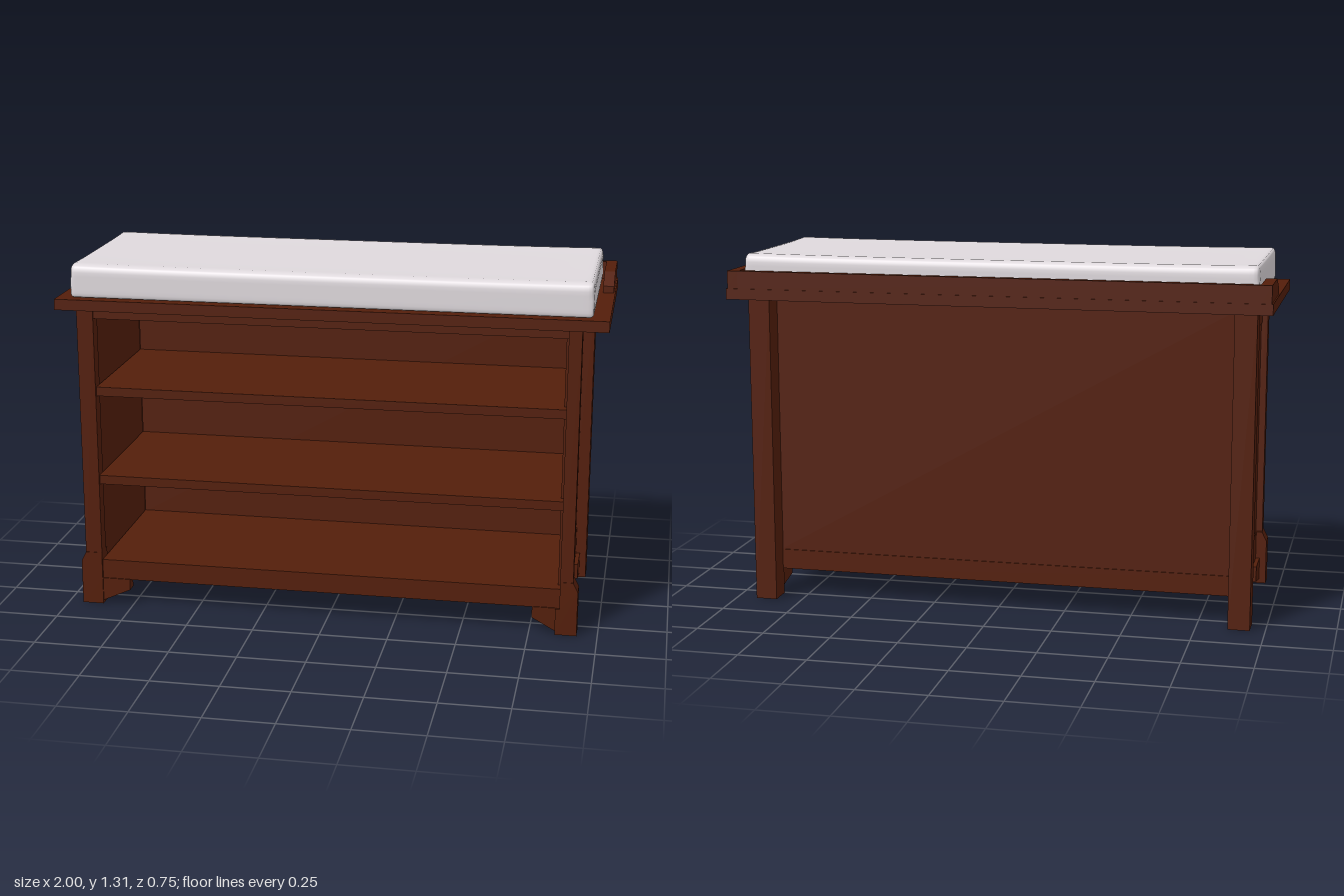
import * as THREE from 'three';
import { mergeVertices } from 'three/addons/utils/BufferGeometryUtils.js';

const wood = new THREE.MeshStandardMaterial({ color: 0x541e0a });
wood.name = 'reddish brown wood';
const fabric = new THREE.MeshStandardMaterial({ color: 0xdfd9dd });
fabric.name = 'pale grey fabric';

export function createModel() {
  const model = new THREE.Group();
  model.name = 'changingTable';

  const add = (name, geometry, material = wood) => {
    const mesh = new THREE.Mesh(geometry, material);
    mesh.name = name;
    model.add(mesh);
    return mesh;
  };

  // Box given by its limits on each axis
  const box = (name, x0, x1, y0, y1, z0, z1) => {
    const mesh = add(name, new THREE.BoxGeometry(x1 - x0, y1 - y0, z1 - z0));
    mesh.position.set((x0 + x1) / 2, (y0 + y1) / 2, (z0 + z1) / 2);
    return mesh;
  };

  // Board cut from an outline; alongZ outlines are [z, y], otherwise [x, y]
  const board = (name, points, from, to, alongZ) => {
    const shape = new THREE.Shape(points.map(([a, b]) => new THREE.Vector2(alongZ ? -a : a, b)));
    const geometry = new THREE.ExtrudeGeometry(shape, { depth: to - from, bevelEnabled: false });
    geometry.translate(0, 0, from);
    if (alongZ) geometry.rotateY(Math.PI / 2);
    return add(name, geometry);
  };

  const cx = -0.01;           // carcass centre
  const outer = 0.935, inner = 0.855, postOuter = 0.917, panel = 0.895;
  const L = -0.865, R = 0.86; // front opening
  const under = 1.145, base = 0.1;

  // Table top
  box('tableTop', -1, 1, under, 1.185, -0.373, 0.373);

  for (const s of [-1, 1]) {
    const side = s < 0 ? 'right' : 'left';
    const fx = (v) => cx + s * v;
    const span = (a, b) => [fx(a), fx(b)].sort((m, n) => m - n);
    const opening = s < 0 ? L : R;

    // Posts, the front ones with a wider foot
    const [p0, p1] = [opening, fx(postOuter)].sort((m, n) => m - n);
    box(side + 'FrontPost', p0, p1, 0.15, under, 0.295, 0.345);
    board(side + 'FrontFoot',
      [[fx(inner), 0], [fx(outer), 0], [fx(outer), 0.17], [fx(postOuter), 0.205],
        [opening, 0.205], [opening, base], [fx(inner), base]], 0.28, 0.347, false);
    box(side + 'BackPost', ...span(inner, outer), 0, under, -0.343, -0.253);

    // Framed side panel
    box(side + 'SidePanel', ...span(0.86, panel - 0.003), 0.2, 1.03, -0.255, 0.297);
    box(side + 'SideTopRail', ...span(0.86, panel), 1.025, under, -0.255, 0.297);
    box(side + 'SideBottomRail', ...span(0.86, panel), base - 0.004, 0.205, -0.255, 0.297);

    // Foot brackets
    const [b0, b1] = span(0.868, 0.91);
    board(side + 'SideFrontBracket', [[0.285, 0.015], [0.285, 0.1], [0.15, 0.1], [0.15, 0.042]], b0, b1, true);
    board(side + 'SideBackBracket', [[-0.255, 0.015], [-0.125, 0.042], [-0.125, 0.1], [-0.255, 0.1]], b0, b1, true);
    board(side + 'FrontBracket',
      [[fx(0.86), 0.01], [s * 0.76, 0.06], [s * 0.76, 0.102], [fx(0.86), 0.102]], 0.3, 0.342, false);

    // Low guard with a sloped front end
    const [g0, g1] = s < 0 ? [-0.995, -0.955] : [0.955, 0.995];
    board(side + 'Guard',
      [[-0.37, 1.185], [-0.09, 1.185], [-0.09, 1.21], [-0.165, 1.25], [-0.37, 1.25]], g0, g1, true);
  }
  box('backGuard', -0.956, 0.956, 1.185, 1.25, -0.37, -0.345);

  // Open front: rails, shelves and solid plinth
  box('frontTopRail', L, R, 1.11, under, 0.295, 0.338);
  box('bottomShelf', L, R, base, 0.175, -0.262, 0.338);
  for (const y of [0.475, 0.817]) box('shelf', L, R, y, y + 0.034, -0.25, 0.335);

  // Back panel, set in behind the posts
  box('backPanel', L, R, 0.17, under, -0.258, -0.243);

  // Cushion: box grid tightened towards its edges, rounded, with a slight dip on top
  const half = new THREE.Vector3(0.945, 0.0625, 0.342);
  const grid = new THREE.BoxGeometry(2, 2, 2, 44, 12, 28);
  grid.deleteAttribute('uv');
  grid.deleteAttribute('normal');
  const cushion = mergeVertices(grid);
  const pos = cushion.attributes.position;
  const p = new THREE.Vector3(), core = new THREE.Vector3();
  const topRadius = new THREE.Vector3(0.014, 0.032, 0.034);
  const bottomRadius = new THREE.Vector3(0.014, 0.014, 0.016);
  for (let i = 0; i < pos.count; i++) {
    p.fromBufferAttribute(pos, i);
    p.set(...p.toArray().map((v) => Math.sin(v * Math.PI / 2))).multiply(half);
    const r = p.y > 0 ? topRadius : bottomRadius;
    const limit = half.clone().sub(r);
    core.copy(p).clamp(limit.clone().negate(), limit);
    p.sub(core).divide(r).normalize().multiply(r).add(core);
    if (p.y > 0) {
      const dip = 2 - (p.x / half.x) ** 4 - (p.z / half.z) ** 4;
      p.y -= 0.004 * dip * (p.y / half.y);
    }
    pos.setXYZ(i, p.x, p.y, p.z);
  }
  cushion.computeVertexNormals();
  add('cushion', cushion, fabric).position.set(-0.002, 1.2495, 0.006);

  return model;
}
